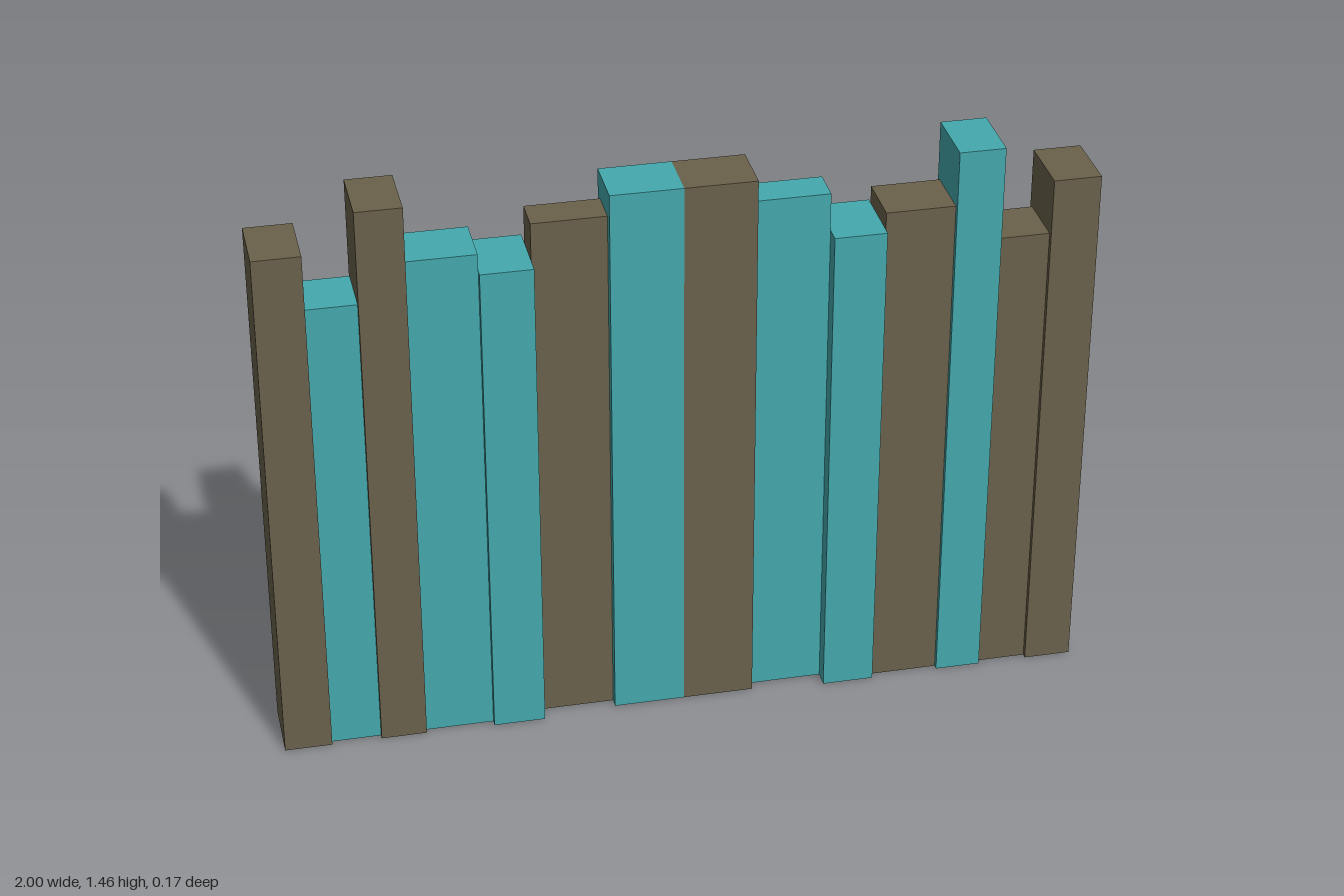
import * as THREE from 'three';

const brown = new THREE.MeshStandardMaterial({ color: 0x6a614b });
const teal = new THREE.MeshStandardMaterial({ color: 0x44a9ad });

// Planks from the middle outwards: inner x, outer x, height, depth, left (+x) and right (-x) material
const planks = [
  [0, 0.175, 1.427, 0.14, brown, teal],
  [0.175, 0.355, 1.362, 0.09, teal, brown],
  [0.355, 0.482, 1.266, 0.174, teal, teal],
  [0.482, 0.65, 1.31, 0.14, brown, teal],
  [0.65, 0.762, 1.455, 0.166, teal, brown],
  [0.762, 0.884, 1.212, 0.14, brown, teal],
  [0.884, 1, 1.357, 0.166, brown, brown],
];

export function createModel() {
  const fence = new THREE.Group();
  fence.name = 'plankFence';

  // Each plank stands on the ground and is mirrored with its own colour
  planks.forEach(([inner, outer, height, depth, leftMaterial, rightMaterial], i) => {
    const geometry = new THREE.BoxGeometry(outer - inner, height, depth);
    geometry.translate(0, height / 2, 0);
    for (const side of [1, -1]) {
      const plank = new THREE.Mesh(geometry, side > 0 ? leftMaterial : rightMaterial);
      plank.name = `${side > 0 ? 'left' : 'right'}Plank${i + 1}`;
      plank.position.x = (side * (inner + outer)) / 2;
      fence.add(plank);
    }
  });

  return fence;
}
